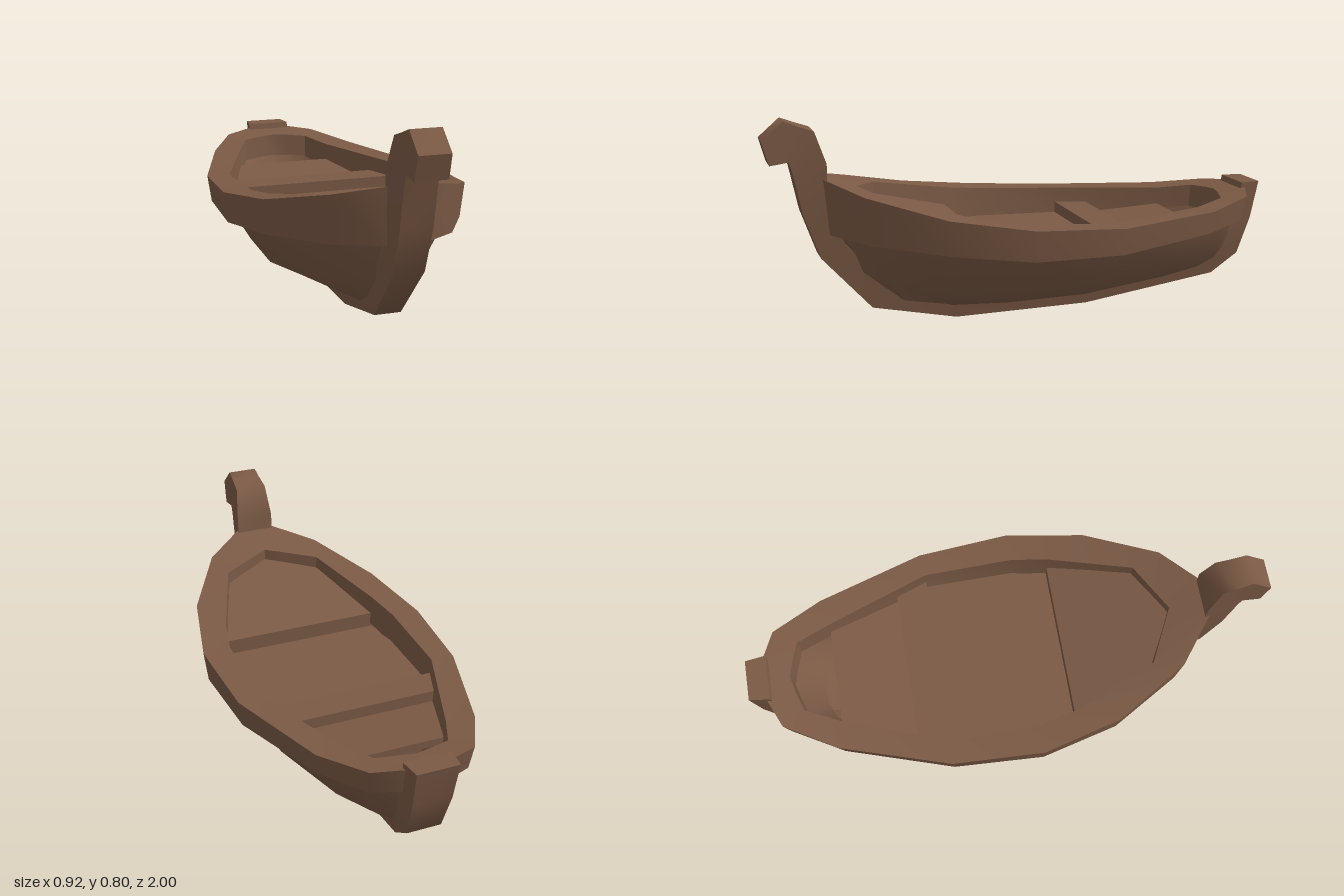
import * as THREE from 'three';
import { toCreasedNormals } from 'three/addons/utils/BufferGeometryUtils.js';

const wood = new THREE.MeshStandardMaterial({ color: 0x7b5a45, side: THREE.DoubleSide });
wood.name = 'brown wood';

// Skin a list of cross-sections, each a list of [x, y, z] corners
function loft(rings, { closeRing = true, closePath = false, caps = false, crease = 0.65 } = {}) {
  const n = rings[0].length, index = [];
  for (let i = 0; i < rings.length - (closePath ? 0 : 1); i++) {
    const j = (i + 1) % rings.length;
    for (let k = 0; k < n - (closeRing ? 0 : 1); k++) {
      const m = (k + 1) % n;
      const a = i * n + k, b = i * n + m, c = j * n + m, d = j * n + k;
      index.push(a, b, c, a, c, d);
    }
  }
  if (caps) {
    const e = (rings.length - 1) * n;
    for (let k = 1; k < n - 1; k++) index.push(0, k + 1, k, e, e + k, e + k + 1);
  }
  const g = new THREE.BufferGeometry();
  g.setAttribute('position', new THREE.Float32BufferAttribute(rings.flat(2), 3));
  g.setIndex(index);
  return toCreasedNormals(g, crease);
}

// Flat board from half a plan outline [x, z], mirrored, rising along z
function board(half, thickness, y, rise = 0) {
  const outline = [...half, ...half.slice().reverse().map(([x, z]) => [-x, z])];
  const shape = new THREE.Shape(outline.map(([x, z]) => new THREE.Vector2(x, z)));
  const g = new THREE.ExtrudeGeometry(shape, { depth: thickness, bevelEnabled: false });
  g.rotateX(Math.PI / 2);
  const p = g.attributes.position;
  for (let i = 0; i < p.count; i++) p.setY(i, p.getY(i) + y + rise * (p.getZ(i) - half[0][1]));
  g.computeVertexNormals();
  return g;
}

export function createModel() {
  const boat = new THREE.Group();
  boat.name = 'rowing boat';
  const add = (name, geometry) => {
    const mesh = new THREE.Mesh(geometry, wood);
    mesh.name = name;
    boat.add(mesh);
  };
  const flip = ([x, y, z]) => [-x, y, z];

  // Hull: rail line, chine and keel line, from bow to stern
  const top = [[.05, .375, .73], [.19, .365, .62], [.33, .34, .37], [.385, .312, .08],
    [.375, .307, -.27], [.255, .328, -.66], [.15, .345, -.85], [.05, .355, -.9]];
  const chine = [[.05, .22, .66], [.13, .19, .56], [.23, .15, .33], [.28, .13, .08],
    [.27, .13, -.25], [.19, .15, -.6], [.11, .17, -.79], [.05, .2, -.87]];
  const bottom = [[.04, .1, .55], [.045, .075, .48], [.05, .05, .3], [.05, .04, .08],
    [.05, .045, -.25], [.05, .09, -.6], [.05, .12, -.75], [.04, .15, -.82]];
  add('hull', loft(top.map((t, i) => {
    const side = [t, chine[i], bottom[i]];
    return [...side, ...side.slice().reverse().map(flip)];
  }), { closeRing: false, crease: 0.75 }));

  // Rail: outer x, z; inner x, z; outer top y, inner top y, bottom y
  const rail = [
    [0, .79, 0, .65, .585, .535, .37], [.075, .785, .06, .62, .582, .528, .37],
    [.235, .66, .2, .55, .537, .508, .357], [.39, .39, .32, .23, .467, .443, .333],
    [.46, .085, .35, .09, .424, .424, .305], [.44, -.27, .35, -.26, .404, .404, .3],
    [.307, -.69, .2, -.67, .41, .408, .32], [.196, -.887, .14, -.8, .436, .424, .338],
    [.085, -.935, .06, -.825, .45, .43, .345], [0, -.94, 0, -.84, .45, .432, .345]];
  const section = ([ox, oz, ix, iz, ot, it, b]) =>
    [[ox, ot, oz], [ox * .967, b, oz * .975], [ix * .98, b - .008, iz * .99], [ix, it, iz]];
  const oneSide = rail.map(section);
  const otherSide = oneSide.slice(1, -1).reverse().map(r => r.map(flip));
  add('rail', loft([...oneSide, ...otherSide], { closePath: true }));

  // Keel with curled prow and sternpost: outer z, y, half width; inner z, y, half width
  const keel = [
    [1, .73, .058, .92, .8, .058], [.975, .64, .06, .87, .781, .06],
    [.905, .65, .06, .81, .76, .064], [.895, .62, .06, .77, .64, .077],
    [.86, .45, .06, .77, .5, .075], [.8, .28, .058, .71, .33, .07],
    [.61, .07, .05, .52, .12, .06], [.28, 0, .045, .28, .055, .055],
    [-.26, .008, .045, -.26, .055, .055], [-.81, .09, .055, -.75, .135, .065],
    [-.92, .17, .065, -.84, .2, .075], [-.97, .32, .075, -.89, .33, .085],
    [-1, .47, .08, -.92, .47, .09]];
  add('keel and posts', loft(keel.map(([oz, oy, ow, iz, iy, iw]) =>
    [[iw, iy, iz], [ow, oy, oz], [-ow, oy, oz], [-iw, iy, iz]]), { caps: true, crease: 1.09 }));

  // Floor, decks and bench
  add('middle floor', board([[.32, .24], [.348, .09], [.348, -.26], [.31, -.39]], .015, .31, .02));
  add('front deck', board([[.319, .23], [.198, .545], [0, .652]], .06, .37, .29));
  add('bench', board([[.348, -.26], [.318, -.385]], .05, .345));
  add('rear deck', board([[.318, -.38], [.2, -.67]], .03, .3, -.14));

  // Steep curved lining behind the rear deck
  const liningTop = [[.2, .33, -.665], [.14, .345, -.8], [.06, .35, -.825], [0, .35, -.84]];
  const liningFoot = [[.19, .22, -.64], [.11, .21, -.7], [.05, .2, -.725], [0, .2, -.73]];
  const lining = liningTop.map((t, i) => [liningFoot[i], t]);
  add('stern lining', loft([...lining, ...lining.slice(0, -1).reverse().map(r => r.map(flip))],
    { closeRing: false, crease: 1.2 }));
  return boat;
}
